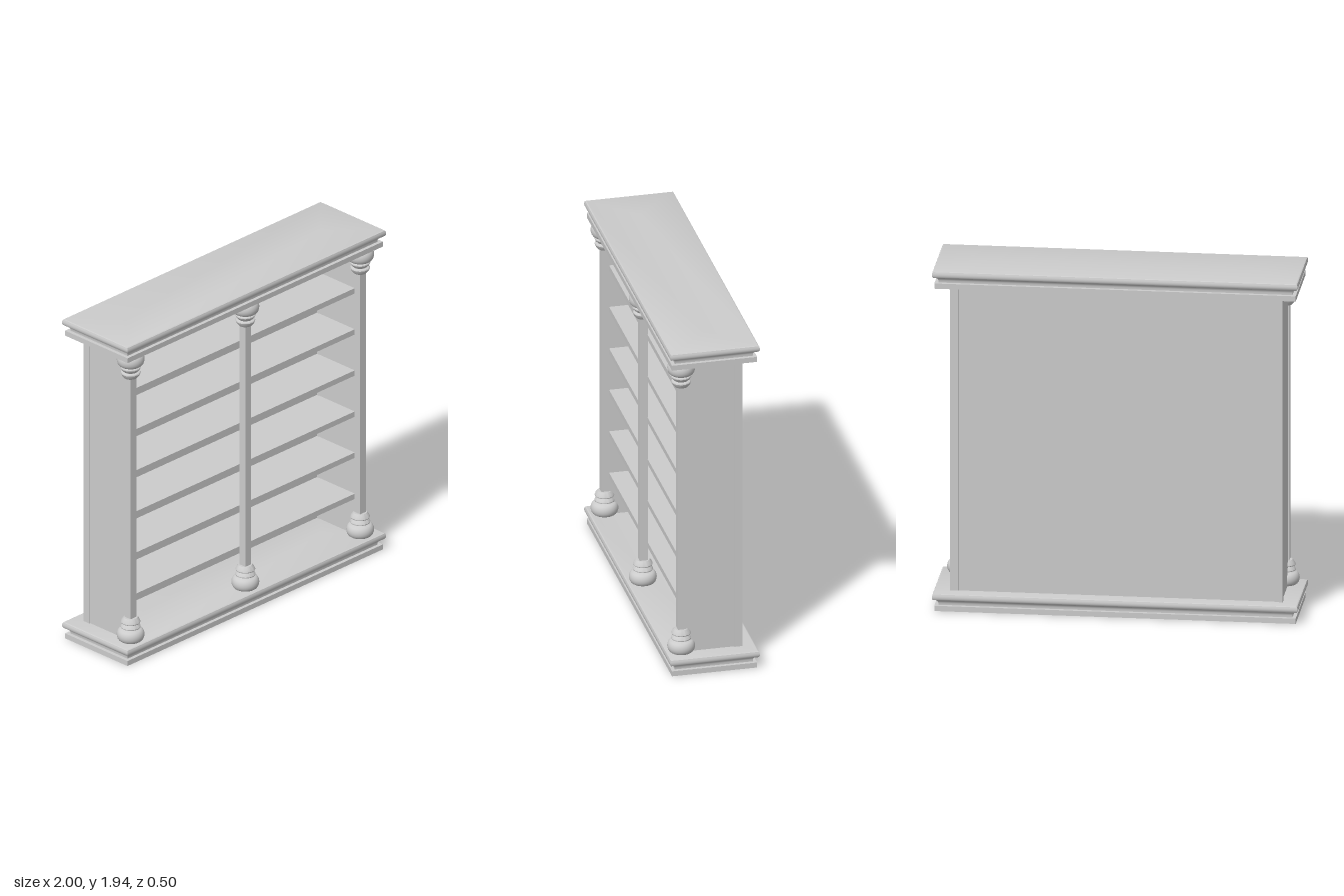
import * as THREE from 'three';
import { toCreasedNormals } from 'three/addons/utils/BufferGeometryUtils.js';

const material = new THREE.MeshStandardMaterial({ color: 0xcccccc });

function addMesh(parent, name, geometry, x = 0, y = 0, z = 0) {
  const mesh = new THREE.Mesh(geometry, material);
  mesh.name = name;
  mesh.position.set(x, y, z);
  parent.add(mesh);
  return mesh;
}

// Box given by its extents on each axis
function addBox(parent, name, [x0, x1], [y0, y1], [z0, z1]) {
  return addMesh(parent, name, new THREE.BoxGeometry(x1 - x0, y1 - y0, z1 - z0),
    (x0 + x1) / 2, (y0 + y1) / 2, (z0 + z1) / 2);
}

// Mitred rectangular moulding: profile of [inset from the outer edge, height]
function mouldingGeometry(profile, halfX = 1, halfZ = 0.25) {
  const corners = [[1, 1], [1, -1], [-1, -1], [-1, 1]];
  const point = ([inset, y], c) => {
    const [sx, sz] = corners[c % 4];
    return [sx * (halfX - inset), y, sz * (halfZ - inset)];
  };
  const positions = [];
  for (let i = 0; i < profile.length - 1; i++) {
    for (let c = 0; c < 4; c++) {
      const p0 = point(profile[i], c), p1 = point(profile[i], c + 1);
      const p2 = point(profile[i + 1], c + 1), p3 = point(profile[i + 1], c);
      positions.push(...p0, ...p1, ...p2, ...p0, ...p2, ...p3);
    }
  }
  const geometry = new THREE.BufferGeometry();
  geometry.setAttribute('position', new THREE.Float32BufferAttribute(positions, 3));
  return toCreasedNormals(geometry, 0.6);
}

// Turned ornament: large cushion below two flared rings, standing on y = 0
function turnedGeometry() {
  const profile = [[0, 0], [0.05, 0]];
  for (let i = 1; i < 10; i++) {
    const a = -Math.PI / 2 + (i / 10) * Math.PI;
    profile.push([0.05 + 0.026 * Math.cos(a), 0.036 + 0.036 * Math.sin(a)]);
  }
  profile.push([0.05, 0.072], [0.043, 0.076], [0.054, 0.08], [0.055, 0.085],
    [0.05, 0.094], [0.039, 0.105], [0.052, 0.109], [0.054, 0.114],
    [0.049, 0.126], [0.037, 0.14], [0, 0.14]);
  const lathe = new THREE.LatheGeometry(profile.map(([r, y]) => new THREE.Vector2(r, y)), 40);
  return toCreasedNormals(lathe, 0.6);
}

export function createModel() {
  const model = new THREE.Group();
  model.name = 'bookcase';

  // Plinth and cornice share the same outer edge
  const edge = [[0.012, 0], [0.012, 0.03], [0.032, 0.03], [0.032, 0.042], [0.028, 0.052],
    [0.019, 0.06], [0.006, 0.064], [0.001, 0.071], [0, 0.08], [0.001, 0.09],
    [0.004, 0.097], [0.01, 0.1], [0.25, 0.1]];
  addMesh(model, 'plinth', mouldingGeometry([[0.25, 0.03], [0.035, 0.03], [0.035, 0], ...edge]));
  addMesh(model, 'cornice', mouldingGeometry([[0.25, 0], ...edge]), 0, 1.842, 0);

  const height = [0.1, 1.844];

  // Carcass: sides, rear posts and back panel
  for (const [label, s] of [['left', 1], ['right', -1]]) {
    const span = (a, b) => (s > 0 ? [a, b] : [-b, -a]);
    addBox(model, `${label}SidePanel`, span(0.868, 0.903), height, [-0.14, 0.145]);
    addBox(model, `${label}RearPost`, span(0.865, 0.91), height, [-0.175, -0.13]);
  }
  addBox(model, 'backPanel', [-0.87, 0.87], height, [-0.168, -0.145]);

  // Shelves
  for (let i = 0; i < 6; i++) {
    const top = 0.348 + i * 0.25;
    addBox(model, `shelf${i + 1}`, [-0.87, 0.87], [top - 0.032, top], [-0.15, 0.142]);
  }

  // Front columns: square shafts with turned bases and capitals
  const turned = turnedGeometry();
  for (const [name, x] of [['rightColumn', -0.888], ['middleColumn', 0], ['leftColumn', 0.888]]) {
    const column = new THREE.Group();
    column.name = name;
    column.position.set(x, 0, 0.163);
    addBox(column, 'shaft', [-0.0225, 0.0225], [0.11, 1.83], [-0.0225, 0.0225]);
    addMesh(column, 'columnBase', turned, 0, 0.098, 0);
    const capital = addMesh(column, 'capital', turned, 0, 1.846, 0);
    capital.rotation.x = Math.PI;
    capital.scale.y = 1.06;
    model.add(column);
  }

  return model;
}
